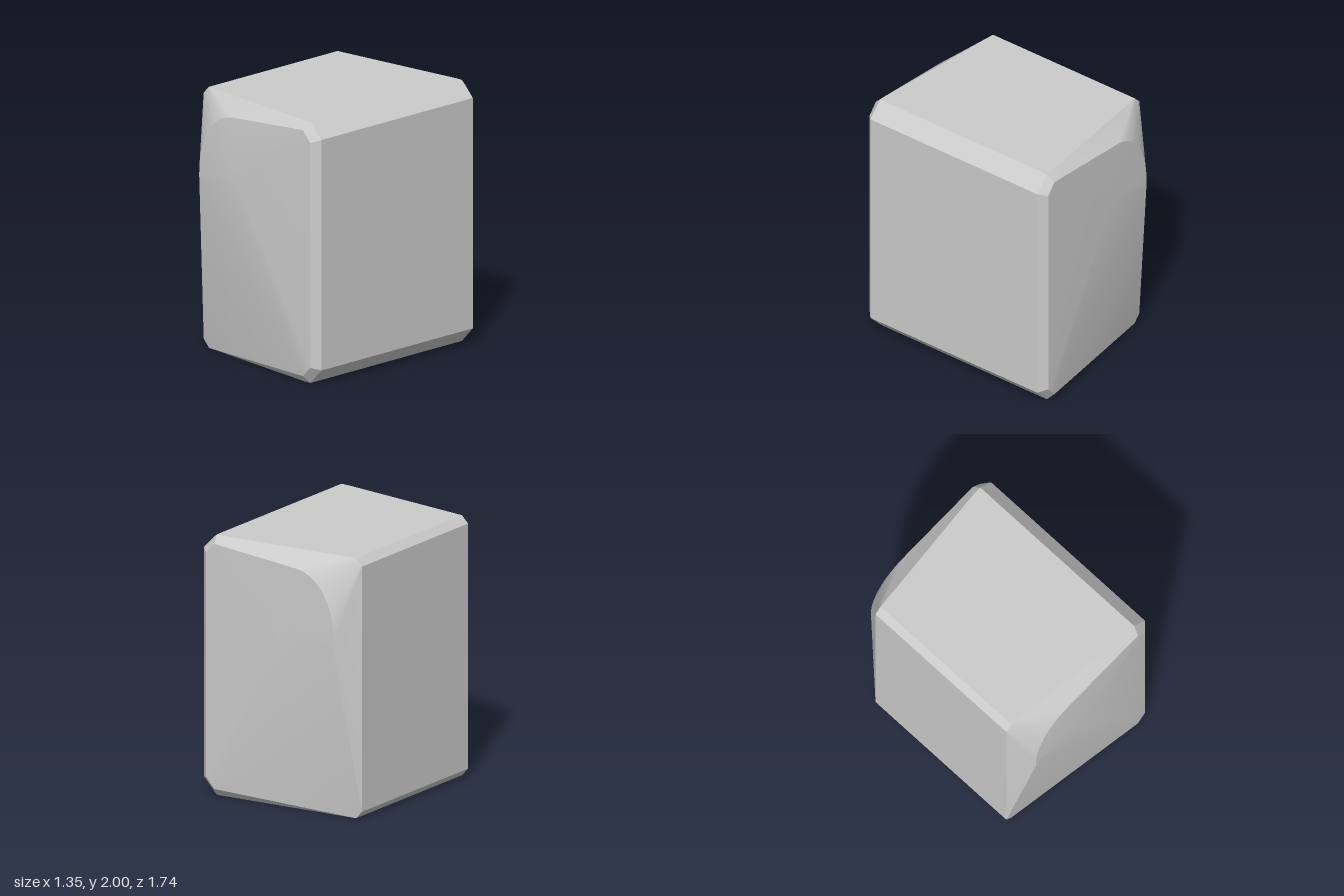
import * as THREE from 'three';
import { ConvexGeometry } from 'three/addons/geometries/ConvexGeometry.js';
import { toCreasedNormals } from 'three/addons/utils/BufferGeometryUtils.js';

// Points of one end of the block: outer ring, chamfered face and crown
function endPoints({ edgeRight, edgeLeft, face, crown }) {
  const pts = [];
  const add = (x, y, z) => pts.push(new THREE.Vector3(x, y, z));

  // Ring where the long sides stop, large chamfers right, small ones left
  for (const [x, y] of [[0.56, 0], [0.675, 0.12], [0.675, 1.885], [0.56, 2], [0.5, 2], [0.5, 0]])
    add(x, y, edgeRight);
  for (const [x, y] of [[-0.62, 2], [-0.675, 1.945], [-0.675, 0.06], [-0.62, 0]])
    add(x, y, edgeLeft);

  // Right border of the end face
  for (const [x, y] of [[0.54, 0.06], [0.615, 0.14], [0.615, 1.86], [0.54, 1.945]])
    add(x, y, face);

  // Rounded upper left border of the end face
  const arc = new THREE.CubicBezierCurve(
    new THREE.Vector2(-0.2, 1.888), new THREE.Vector2(-0.42, 1.87),
    new THREE.Vector2(-0.57, 1.63), new THREE.Vector2(-0.54, 1.3));
  for (const p of arc.getPoints(12)) add(p.x, p.y, face);

  // Shallow crown
  add(-0.13, 1.45, crown);
  return pts;
}

export function createModel() {
  const group = new THREE.Group();
  group.name = 'chamferedBlock';

  const points = [
    ...endPoints({ edgeRight: 0.765, edgeLeft: 0.645, face: 0.822, crown: 0.868 }),
    ...endPoints({ edgeRight: -0.803, edgeLeft: -0.687, face: -0.86, crown: -0.868 }),
  ];
  const geometry = toCreasedNormals(new ConvexGeometry(points), 0.3);
  const block = new THREE.Mesh(geometry, new THREE.MeshStandardMaterial({ color: 0xcccccc }));
  block.name = 'block';
  group.add(block);
  return group;
}
